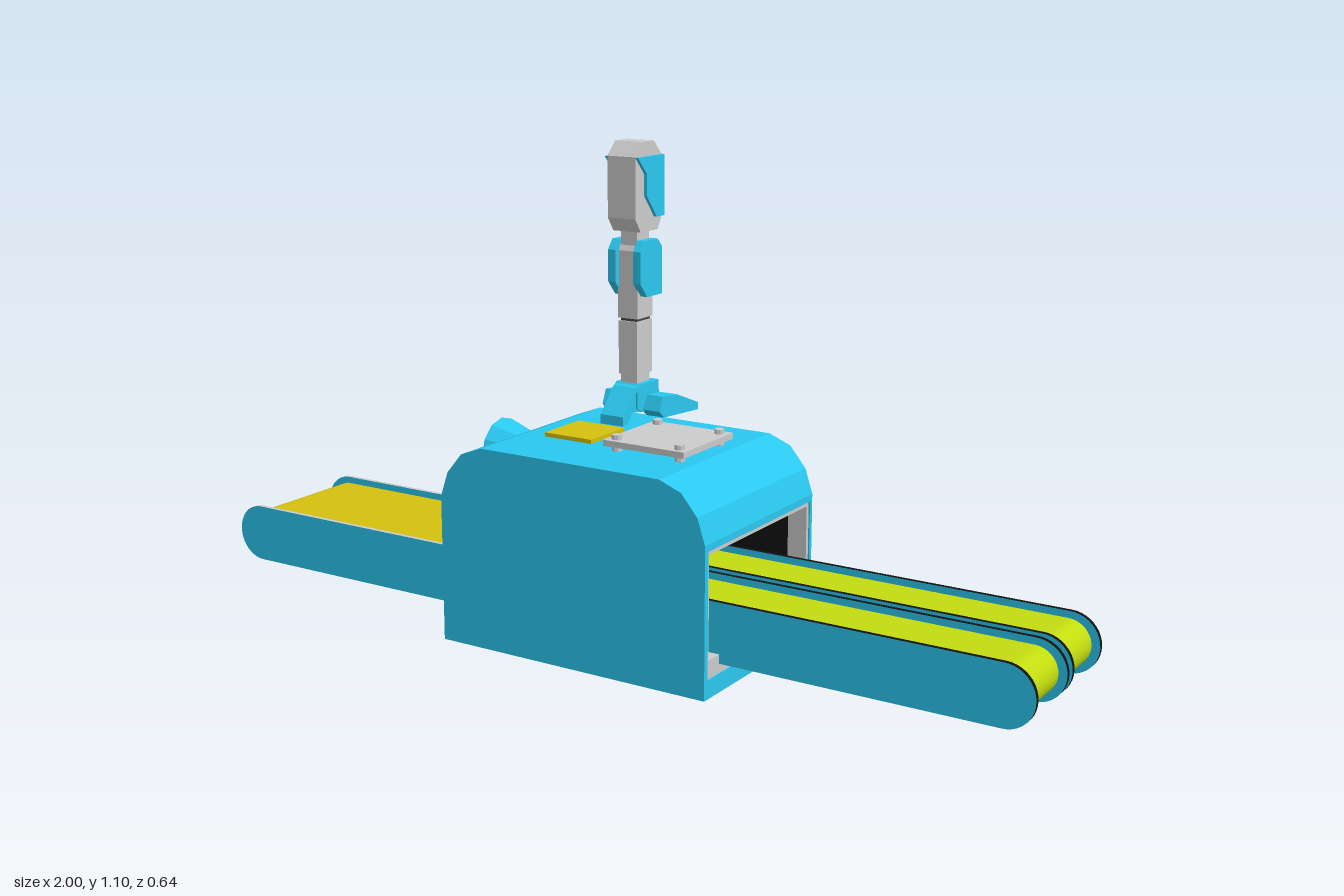
import * as THREE from 'three';

const mat = (color, side = THREE.FrontSide) =>
  new THREE.MeshStandardMaterial({ color, flatShading: true, side });
const blue = mat(0x2bc8f0), grey = mat(0xcccccc), black = mat(0x111111);
const dark = mat(0x444444), yellow = mat(0xd6c010), lime = mat(0xc2dc10);

export function createModel() {
  const root = new THREE.Group();

  const add = (name, geo, material, parent = root) => {
    const m = new THREE.Mesh(geo, material);
    m.name = name;
    parent.add(m);
    return m;
  };
  // box given by its limits
  const box = (name, x0, x1, y0, y1, z0, z1, material, parent) => {
    const m = add(name, new THREE.BoxGeometry(x1 - x0, y1 - y0, z1 - z0), material, parent);
    m.position.set((x0 + x1) / 2, (y0 + y1) / 2, (z0 + z1) / 2);
    return m;
  };
  const shapeOf = (pts) => new THREE.Shape(pts.map(([x, y]) => new THREE.Vector2(x, y)));
  // (x, y) outline extruded from z0 to z1
  const extZ = (name, shape, z0, z1, material, parent) => add(name,
    new THREE.ExtrudeGeometry(shape, { depth: z1 - z0, bevelEnabled: false, curveSegments: 10 })
      .translate(0, 0, z0), material, parent);
  // (z, y) outline extruded from x0 to x1
  const extX = (name, shape, x0, x1, material, parent) => add(name,
    new THREE.ExtrudeGeometry(shape, { depth: x1 - x0, bevelEnabled: false })
      .rotateY(-Math.PI / 2).translate(x1, 0, 0), material, parent);
  const rect = (a0, a1, b0, b1) => [[a0, b0], [a1, b0], [a1, b1], [a0, b1]];
  const ring = (outer, inner) => {
    const s = shapeOf(outer);
    s.holes.push(shapeOf(inner));
    return s;
  };
  // horizontal bar with round ends
  const stadium = (x0, x1, y, r) => {
    const s = new THREE.Shape();
    s.moveTo(x0 + r, y - r);
    s.lineTo(x1 - r, y - r);
    s.absarc(x1 - r, y, r, -Math.PI / 2, Math.PI / 2, false);
    s.lineTo(x0 + r, y + r);
    s.absarc(x0 + r, y, r, Math.PI / 2, Math.PI * 1.5, false);
    return s;
  };

  // Housing: end walls joined by a roof and a floor, open at both sides
  const crown = [[0.328, 0.335], [0.31, 0.39], [0.272, 0.435], [0.22, 0.455],
    [-0.225, 0.455], [-0.278, 0.435], [-0.316, 0.39], [-0.335, 0.335]];
  const wall = shapeOf([[-0.335, 0.01], [0.328, 0.01], ...crown]);
  extZ('frontWall', wall, 0.307, 0.32, blue);
  extZ('backWall', wall, -0.125, -0.115, blue);
  extZ('roof', shapeOf([[-0.335, 0.32], [0.328, 0.32], ...crown]), -0.115, 0.307, blue);
  box('floor', -0.335, 0.328, 0.01, 0.05, -0.115, 0.307, blue);

  // Tunnel mouths with grey frames and a black interior
  const mouth = ring(rect(-0.115, 0.307, 0.05, 0.32), rect(-0.106, 0.299, 0.09, 0.311));
  extX('leftMouthFrame', mouth, 0.28, 0.325, grey);
  extX('rightMouthFrame', mouth, -0.332, -0.287, grey);
  extX('tunnelLining', mouth, -0.287, 0.28, black);
  box('tunnelCore', -0.1, 0.1, 0.09, 0.311, -0.106, 0.299, black);

  // Conveyors: looped belts between round-ended side plates
  const conveyor = (name, x0, x1, belts, plates, beltMat, rimMat) => {
    const g = new THREE.Group();
    g.name = name;
    root.add(g);
    const inset = 0.018;
    const beltShape = stadium(x0 + inset, x1 - inset, 0.135, 0.05);
    belts.forEach(([a, b]) => extZ('belt', beltShape, a, b, beltMat, g));
    plates.forEach((z) =>
      extZ('sidePlate', stadium(x0, x1, 0.135, 0.065), z - 0.005, z + 0.005, [blue, rimMat], g));
  };
  conveyor('doubleConveyor', 0.05, 1, [[-0.078, 0.066], [0.1, 0.248]],
    [-0.081, 0.07, 0.097, 0.253], lime, black);
  conveyor('singleConveyor', -1, -0.05, [[-0.052, 0.246]], [-0.058, 0.252], yellow, grey);

  // Back cover plate
  extZ('backPlate', shapeOf([[-0.305, 0.02], [0.305, 0.02], [0.305, 0.2], [0.285, 0.26],
    [0.24, 0.305], [0.19, 0.32], [-0.19, 0.32], [-0.24, 0.305], [-0.285, 0.26], [-0.305, 0.2]]),
  -0.158, -0.125, grey);

  // Fan wheel on the back
  const fan = new THREE.Group();
  fan.name = 'fanWheel';
  fan.position.set(0, 0.217, -0.158);
  fan.rotation.y = Math.PI;
  root.add(fan);
  add('fanRim', new THREE.LatheGeometry([[0.133, -0.03], [0.133, 0.018], [0.142, 0.03],
    [0.162, 0.03], [0.173, 0.018], [0.173, -0.03]].map(([x, y]) => new THREE.Vector2(x, y)), 32)
    .rotateX(Math.PI / 2), mat(0xcccccc, THREE.DoubleSide), fan);
  add('fanBacking', new THREE.CircleGeometry(0.135, 32), black, fan).position.z = 0.003;
  const circle = (r) => new THREE.Shape().absarc(0, 0, r, 0, Math.PI * 2);
  const band = circle(0.135);
  band.holes.push(circle(0.112));
  extZ('fanBand', band, 0.003, 0.014, blue, fan);
  for (let i = 0; i < 8; i++) {
    const s = extZ('spoke', shapeOf([[0.02, -0.013], [0.12, -0.02], [0.12, 0.02], [0.02, 0.013]]),
      0.003, 0.014, blue, fan);
    s.rotation.z = (i + 0.5) * Math.PI / 4;
  }
  extZ('hubRing', circle(0.052), 0.003, 0.016, blue, fan);
  const hub = add('hub', new THREE.SphereGeometry(0.036, 16, 10), yellow, fan);
  hub.position.z = 0.014;
  hub.scale.z = 0.7;

  // Slatted round vent
  const vent = new THREE.Group();
  vent.name = 'vent';
  vent.position.set(0.19, 0.385, -0.125);
  vent.rotation.y = Math.PI;
  root.add(vent);
  const ventRim = circle(0.053);
  ventRim.holes.push(circle(0.042));
  extZ('ventRim', ventRim, 0, 0.015, grey, vent);
  add('ventBacking', new THREE.CircleGeometry(0.044, 20), dark, vent).position.z = 0.002;
  for (let i = -1; i <= 1; i++) {
    const s = box('ventSlat', -0.04, 0.04, -0.005, 0.005, 0, 0.011, grey, vent);
    s.position.y = i * 0.022;
    s.scale.x = i ? 0.88 : 1;
    s.rotation.x = 0.3;
  }
  vent.rotation.z = 0.6;

  // Small bolted cover
  const cover = extZ('boltedCover', stadium(-0.058, 0.058, 0, 0.035), -0.012, 0, grey);
  cover.position.set(-0.2, 0.38, -0.125);
  cover.rotation.z = 0.45;
  for (const s of [-1, 1]) {
    add('coverBolt', new THREE.CylinderGeometry(0.01, 0.01, 0.01, 8).rotateX(Math.PI / 2), dark, cover)
      .position.set(s * 0.033, 0, -0.014);
  }

  // Bent drain pipe
  const path = new THREE.CatmullRomCurve3([[-0.15, 0.142], [-0.2, 0.142], [-0.235, 0.137],
    [-0.26, 0.115], [-0.271, 0.08], [-0.271, 0.025]].map(([z, y]) => new THREE.Vector3(0.235, y, z)));
  add('pipe', new THREE.TubeGeometry(path, 14, 0.022, 12), dark);
  add('pipeFlange', new THREE.CylinderGeometry(0.034, 0.034, 0.028, 14).rotateX(Math.PI / 2), dark)
    .position.set(0.235, 0.142, -0.172);
  add('pipeFoot', new THREE.CylinderGeometry(0.038, 0.047, 0.034, 14), dark)
    .position.set(0.235, 0.017, -0.271);

  // Roof fittings
  box('roofPanel', -0.173, -0.052, 0.45, 0.464, 0.035, 0.162, yellow);
  box('mountPlate', 0.003, 0.202, 0.467, 0.48, 0, 0.198, grey);
  for (const x of [0.025, 0.18]) for (const z of [0.02, 0.178]) {
    add('mountPost', new THREE.CylinderGeometry(0.011, 0.011, 0.042, 8), grey).position.set(x, 0.469, z);
  }

  // Side lamp with flared hood
  const hood = add('lampHood', new THREE.CylinderGeometry(0.042, 0.073, 0.095, 12)
    .rotateZ(-Math.PI / 2), blue);
  hood.position.set(-0.293, 0.388, 0.095);
  add('lampDome', new THREE.SphereGeometry(0.056, 18, 12), yellow).position.set(-0.31, 0.388, 0.095);

  // Upright arm: centre line x = 0.02, z = 0.1
  const arm = new THREE.Group();
  arm.name = 'arm';
  arm.position.x = 0.02;
  root.add(arm);
  const sym = (name, pts, h, m) => extX(name, shapeOf(pts), -h, h, m, arm);
  sym('footCore', [[0.055, 0.535], [0.12, 0.53], [0.14, 0.54], [0.14, 0.575], [0.125, 0.59], [0.06, 0.59]],
    0.032, blue);
  sym('frontToe', [[0.12, 0.53], [0.155, 0.535], [0.172, 0.512], [0.19, 0.512], [0.19, 0.532],
    [0.14, 0.585], [0.12, 0.588]], 0.028, blue);
  for (const s of [-1, 1]) {
    extX('rearToe', shapeOf([[-0.036, 0.51], [0.1, 0.519], [0.118, 0.535], [0.105, 0.565],
      [0.05, 0.56], [-0.036, 0.526]]), s * 0.05 - 0.022, s * 0.05 + 0.022, blue, arm);
  }
  box('ankle', -0.02, 0.02, 0.58, 0.615, 0.076, 0.124, grey, arm);
  box('lowerPost', -0.023, 0.023, 0.608, 0.722, 0.07, 0.128, grey, arm);
  box('jointGap', -0.02, 0.02, 0.72, 0.73, 0.074, 0.124, dark, arm);
  sym('upperPost', [[0.07, 0.728], [0.128, 0.728], [0.128, 0.87], [0.12, 0.885], [0.078, 0.885], [0.07, 0.87]],
    0.024, grey);
  // blue sleeve, open toward the front
  const sleeve = [[0.058, 0.775], [0.115, 0.775], [0.141, 0.805], [0.141, 0.872], [0.125, 0.893],
    [0.075, 0.893], [0.058, 0.875]];
  for (const s of [-1, 1]) {
    extX('sleeveSide', shapeOf(sleeve), s * 0.031 - 0.009, s * 0.031 + 0.009, blue, arm);
  }
  box('sleeveBack', -0.03, 0.03, 0.775, 0.875, 0.058, 0.075, blue, arm);
  box('neck', -0.02, 0.02, 0.88, 0.915, 0.078, 0.122, grey, arm);
  sym('head', [[0.066, 0.911], [0.13, 0.911], [0.15, 0.94], [0.15, 1.067], [0.122, 1.096],
    [0.08, 1.096], [0.052, 1.067], [0.052, 0.935]], 0.034, grey);
  for (const s of [-1, 1]) {
    extX('headPanel', shapeOf([[0.05, 0.939], [0.08, 0.939], [0.117, 0.985], [0.117, 1.03],
      [0.15, 1.066], [0.05, 1.066]]), s * 0.036 - 0.005, s * 0.036 + 0.005, blue, arm);
  }
  return root;
}
